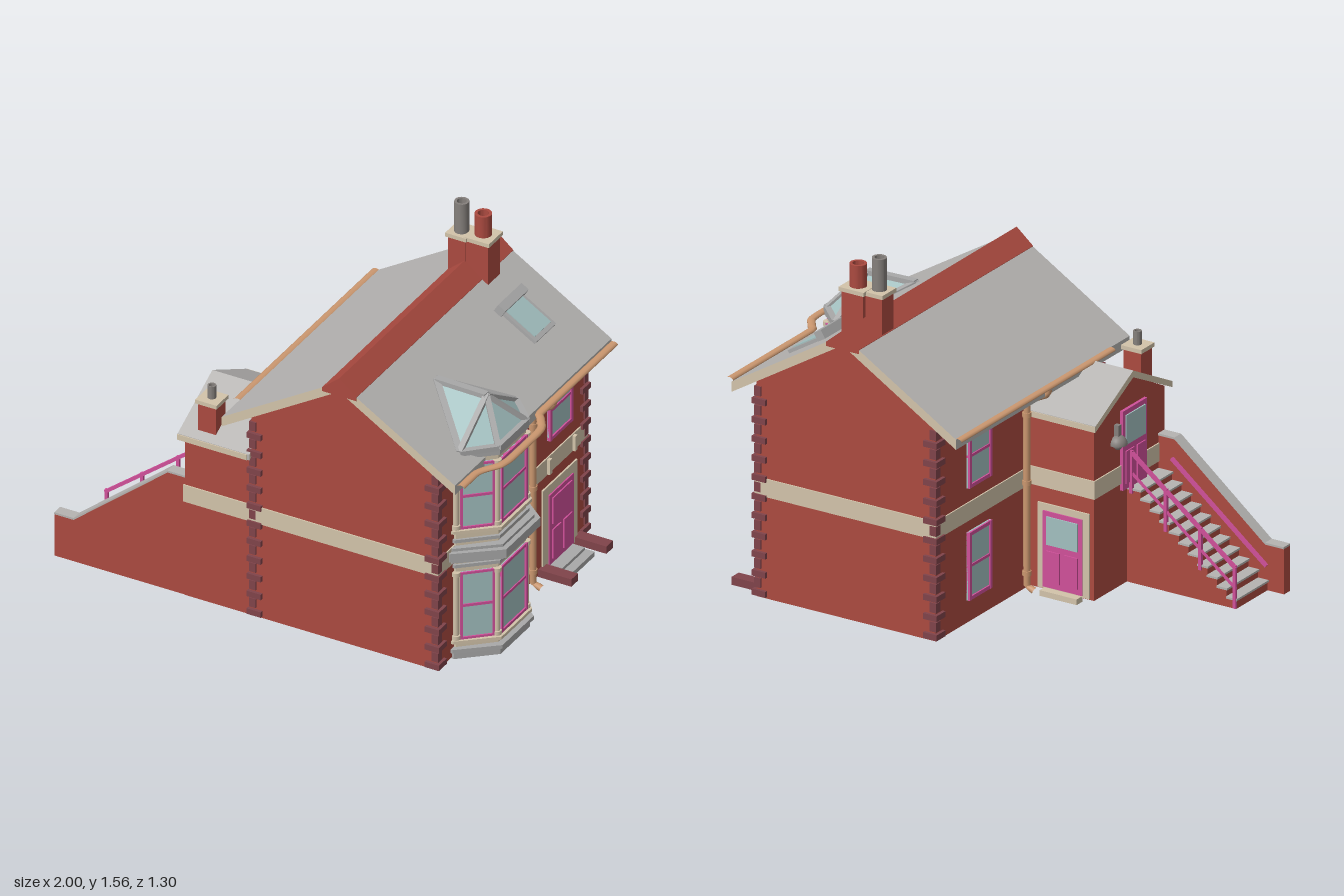
import * as THREE from 'three';
import { toCreasedNormals } from 'three/addons/utils/BufferGeometryUtils.js';

const mat = (name, color, side = THREE.FrontSide) => {
  const m = new THREE.MeshStandardMaterial({ color, side });
  m.name = name;
  return m;
};

export function createModel() {
  const brick = mat('brick', 0xab4a40), quoinMat = mat('quoinBrick', 0x80434a);
  const cream = mat('creamStone', 0xd2c3aa), slate = mat('slate', 0xb5b3b1);
  const stone = mat('greyStone', 0xa8a8a8), pink = mat('pinkPaint', 0xd0509a);
  const glass = mat('glass', 0xa2bfbf, THREE.DoubleSide), copper = mat('copper', 0xcc9870);
  const dark = mat('darkGrey', 0x85807c);
  const house = new THREE.Group();
  house.name = 'house';

  const add = (name, geo, m, parent = house) => {
    const mesh = new THREE.Mesh(geo, m);
    mesh.name = name;
    parent.add(mesh);
    return mesh;
  };
  // box given by its limits on each axis
  const box = (name, m, x0, x1, y0, y1, z0, z1, parent = house) => {
    const mesh = add(name, new THREE.BoxGeometry(x1 - x0, y1 - y0, z1 - z0), m, parent);
    mesh.position.set((x0 + x1) / 2, (y0 + y1) / 2, (z0 + z1) / 2);
    return mesh;
  };
  const prism = (pts, depth) => new THREE.ExtrudeGeometry(
    new THREE.Shape(pts.map(p => new THREE.Vector2(...p))), { depth, bevelEnabled: false });
  const alongZ = (name, m, pts, z0, z1) => {
    const mesh = add(name, prism(pts, z1 - z0), m);
    mesh.position.z = z0;
    return mesh;
  };
  // profile points are (z, y), extruded along x
  const alongX = (name, m, pts, x0, x1) => {
    const mesh = add(name, prism(pts.map(([z, y]) => [-z, y]).reverse(), x1 - x0), m);
    mesh.rotation.y = Math.PI / 2;
    mesh.position.x = x0;
    return mesh;
  };
  const beam = (name, m, a, b, w, h = w) => {
    const p = new THREE.Vector3(...a), q = new THREE.Vector3(...b);
    const mesh = add(name, new THREE.BoxGeometry(w, h, p.distanceTo(q)), m);
    mesh.position.copy(p).add(q).multiplyScalar(0.5);
    mesh.lookAt(q);
    return mesh;
  };
  const tube = (name, pts, r, squash = 1) => {
    const curve = new THREE.CatmullRomCurve3(
      pts.map(([x, y, z]) => new THREE.Vector3(x, y / squash, z)), false, 'catmullrom', 0.15);
    const geo = new THREE.TubeGeometry(curve, 60, r, 10);
    geo.scale(1, squash, 1);
    return add(name, geo, copper);
  };
  const facing = (name, x, y, z, angle) => {
    const g = new THREE.Group();
    g.name = name;
    g.position.set(x, y, z);
    g.rotation.y = angle;
    house.add(g);
    return g;
  };
  // sash window centred on its group, looking along local +z
  const sash = (name, x, y, z, angle, w, h, f = 0.013) => {
    const g = facing(name, x, y, z, angle);
    box('pane', glass, -w / 2, w / 2, -h / 2, h / 2, -0.003, 0.005, g);
    for (const s of [-1, 1]) {
      box('stile', pink, s * (w / 2 - f / 2) - f / 2, s * (w / 2 - f / 2) + f / 2, -h / 2, h / 2, -0.003, 0.013, g);
      box('rail', pink, -w / 2, w / 2, s * (h / 2 - f / 2) - f / 2, s * (h / 2 - f / 2) + f / 2, -0.003, 0.012, g);
    }
    box('meetingRail', pink, -w / 2, w / 2, -0.006, 0.006, -0.003, 0.01, g);
    return g;
  };
  // panelled door standing on its group's origin, with a stone surround
  const door = (name, x, y, z, angle, w, h, surround, glazed) => {
    const g = facing(name, x, y, z, angle);
    if (surround) box('surround', cream, -w / 2 - surround, w / 2 + surround, 0, h + surround, -0.01, 0.008, g);
    box('leaf', pink, -w / 2, w / 2, 0.01, h, -0.01, 0.014, g);
    for (const s of [-1, 1]) {
      const c = s * w * 0.23, k = w * 0.17;
      box('lowerPanel', pink, c - k, c + k, h * 0.1, h * 0.5, 0, 0.02, g);
    }
    box('upperPanel', glazed ? glass : pink, -w * 0.4, w * 0.4, h * 0.58, h * 0.94, 0, 0.02, g);
    return g;
  };

  // main walls, back wing and string course
  alongZ('mainWalls', brick, [[-0.08, 0.02], [0.79, 0.02], [0.79, 0.972], [0.35, 1.237], [-0.08, 0.972]], -0.615, 0.615);
  alongX('wingWalls', brick, [[0.09, 0.02], [0.615, 0.02], [0.615, 0.785], [0.352, 0.925], [0.09, 0.785]], -0.39, -0.07);
  box('stringCourse', cream, -0.086, 0.796, 0.47, 0.55, -0.621, 0.621);
  box('wingStringCourse', cream, -0.396, -0.07, 0.47, 0.55, 0.084, 0.621);
  for (const z of [-0.29, -0.5]) box('bandBlock', cream, 0.78, 0.81, 0.475, 0.545, z - 0.01, z + 0.01);

  // corner quoins, alternating long and short
  for (const [cx, sx] of [[0.79, 1], [-0.08, -1]]) for (const sz of [-1, 1]) {
    for (let i = 0; i < 22; i++) {
      const long = i % 2 === 0, len = long ? 0.052 : 0.024, out = long ? 0.014 : 0.007, y = 0.02 + i * 0.0423;
      const size = len + out, q = add('quoin', new THREE.BoxGeometry(size, long ? 0.026 : 0.0423, size), quoinMat);
      q.position.set(cx + sx * (out - size / 2), y + 0.021, sz * (0.615 + out - size / 2));
    }
  }

  // roofs with pale verges, and the ridge
  alongZ('mainRoof', [cream, slate], [[-0.2, 0.905], [0.35, 1.24], [0.89, 0.91], [0.89, 0.955], [0.35, 1.285], [-0.2, 0.95]], -0.648, 0.648);
  alongZ('ridgeTiles', brick, [[0.27, 1.22], [0.43, 1.22], [0.43, 1.238], [0.35, 1.305], [0.27, 1.238]], -0.65, 0.65);
  alongX('wingRoof', [cream, slate], [[0.07, 0.775], [0.352, 0.92], [0.64, 0.775], [0.64, 0.802], [0.352, 0.95], [0.07, 0.802]], -0.41, -0.075);
  for (const z of [0.066, 0.64]) box('wingFascia', cream, -0.41, -0.085, 0.775, 0.8, z, z + 0.005);

  // chimneys
  const pot = (name, m, x, y, z, r, h) => {
    const pts = [[r, 0], [r, h], [r * 0.65, h], [r * 0.65, h * 0.4], [0, h * 0.4]].map(p => new THREE.Vector2(...p));
    add(name, toCreasedNormals(new THREE.LatheGeometry(pts, 20), 0.6), m).position.set(x, y, z);
  };
  const stack = (name, x0, x1, y0, y1, z0, z1) => {
    box(name, brick, x0, x1, y0, y1, z0, z1);
    box(name + 'Cap', cream, x0 - 0.008, x1 + 0.008, y1, y1 + 0.018, z0 - 0.008, z1 + 0.008);
  };
  stack('rearStack', 0.273, 0.355, 1.15, 1.4, -0.474, -0.386);
  stack('frontStack', 0.353, 0.458, 1.15, 1.402, -0.492, -0.392);
  stack('wingStack', -0.337, -0.253, 0.82, 0.95, 0.52, 0.602);
  pot('greyPot', dark, 0.315, 1.41, -0.427, 0.031, 0.15);
  pot('redPot', brick, 0.406, 1.41, -0.445, 0.036, 0.11);
  pot('wingPot', dark, -0.295, 0.96, 0.56, 0.018, 0.067);

  // two-storey bay, built of stacked canted layers
  const zc = 0.245, wallX = 0.79, frontX = 0.93, wide = 0.235, narrow = 0.115;
  const bayLayer = (name, m, y0, y1, o) => {
    const f = frontX + o, a = wide + o, b = narrow + o * 0.5;
    const geo = prism([[wallX - 0.03, -zc - a], [wallX + 0.01, -zc - a], [f, -zc - b], [f, -zc + b], [wallX + 0.01, -zc + a], [wallX - 0.03, -zc + a]], y1 - y0);
    const mesh = add(name, geo, m);
    mesh.rotation.x = -Math.PI / 2;
    mesh.position.y = y0;
  };
  bayLayer('bayCore', cream, 0.02, 0.97, 0);
  for (const [y0, y1, o] of [[0.012, 0.045, 0.015], [0.045, 0.062, 0.028], [0.48, 0.495, 0.035], [0.495, 0.535, 0.052], [0.535, 0.548, 0.03], [0.965, 0.992, 0.01]])
    bayLayer('bayStoneCourse', stone, y0, y1, o);
  for (const y of [0.085, 0.612]) bayLayer('baySill', cream, y, y + 0.014, 0.022);
  for (const y of [0.445, 0.565]) bayLayer('bayMoulding', stone, y, y + 0.015, 0.012);
  const sideX = (wallX + 0.01 + frontX) / 2, run = frontX - wallX - 0.01, dz = wide - narrow;
  for (const [y, h] of [[0.262, 0.32], [0.785, 0.31]]) {
    sash('bayFrontWindow', frontX, y, zc, Math.PI / 2, 0.215, h);
    for (const s of [-1, 1]) {
      sash('baySideWindow', sideX, y, zc + s * (wide + narrow) / 2, Math.atan2(dz, s * run), 0.145, h, 0.01);
      for (const [x, d] of [[wallX + 0.01, wide], [frontX - 0.003, narrow + 0.004]]) {
        for (const [name, r, c, len] of [['bayColumn', 0.012, y, h], ['columnBase', 0.019, y - h / 2 + 0.01, 0.018], ['columnCapital', 0.019, y + h / 2 - 0.008, 0.018]])
          add(name, new THREE.CylinderGeometry(r, r, len, 12), cream).position.set(x, c, zc + s * d);
      }
    }
  }

  // glazed hipped lantern over the bay
  const back = [0.575, 1.15, zc], apex = [0.81, 1.145, zc];
  const corner = s => [0.815, 0.998, zc + s * 0.232], front = s => [0.93, 0.998, zc + s * 0.118];
  const tris = [apex, front(1), front(-1)];
  for (const s of [-1, 1]) {
    tris.push(back, apex, corner(s), apex, corner(s), front(s));
    beam('lanternValley', stone, back, corner(s), 0.028, 0.02);
    beam('lanternSideHip', stone, apex, corner(s), 0.024, 0.02);
    beam('lanternFrontHip', stone, apex, front(s), 0.024, 0.02);
    beam('lanternSideEave', stone, corner(s), front(s), 0.028, 0.022);
  }
  beam('lanternRidge', stone, back, apex, 0.032, 0.022);
  beam('lanternFrontEave', stone, front(1), front(-1), 0.028, 0.022);
  const lantern = new THREE.BufferGeometry();
  lantern.setAttribute('position', new THREE.Float32BufferAttribute(tris.flat(), 3));
  lantern.computeVertexNormals();
  add('lanternGlass', lantern, glass);

  // roof window lying on the slope
  const skylight = facing('roofWindow', 0.635, 1.111, -0.395, 0);
  skylight.rotation.z = -Math.atan(0.61);
  box('roofWindowFrame', stone, -0.105, 0.1, -0.01, 0.014, -0.083, 0.083, skylight);
  box('roofWindowGlass', glass, -0.08, 0.08, 0.01, 0.018, -0.066, 0.066, skylight);
  box('roofWindowHood', stone, -0.115, -0.075, 0, 0.04, -0.097, 0.097, skylight);

  // street door, step, low piers and window above
  door('frontDoor', 0.79, 0.025, -0.388, Math.PI / 2, 0.2, 0.345, 0.043, false);
  box('frontStep', stone, 0.79, 0.9, 0, 0.022, -0.49, -0.285);
  box('frontThreshold', stone, 0.79, 0.86, 0.02, 0.036, -0.48, -0.295);
  for (const z of [-0.245, -0.535]) box('lowPier', quoinMat, 0.79, 0.945, 0.015, 0.05, z - 0.027, z + 0.027);
  sash('frontUpperWindow', 0.793, 0.767, -0.388, Math.PI / 2, 0.19, 0.28, 0.016);

  // back windows and wing doors
  for (const [y, h] of [[0.27, 0.3], [0.755, 0.28]]) sash('backWindow', -0.083, y, -0.3, -Math.PI / 2, 0.17, h, 0.016);
  door('wingLowerDoor', -0.245, 0.025, 0.09, Math.PI, 0.19, 0.345, 0.03, true);
  box('wingDoorStep', cream, -0.335, -0.155, 0.005, 0.03, 0.045, 0.09);
  door('wingUpperDoor', -0.39, 0.43, 0.375, -Math.PI / 2, 0.18, 0.36, 0, true);

  // wall lamp
  box('lampArm', dark, -0.412, -0.388, 0.67, 0.745, 0.24, 0.26);
  const shade = add('lampShade', new THREE.SphereGeometry(0.04, 20, 8, 0, Math.PI * 2, 0, Math.PI / 2), dark);
  shade.position.set(-0.402, 0.66, 0.25);
  add('lampBulb', new THREE.SphereGeometry(0.02, 12, 8), dark).position.set(-0.402, 0.655, 0.25);

  // outside stair
  const steps = 11, x0 = -0.92, x1 = -0.41, top = 0.43, going = (x1 - x0) / steps, rise = (top - 0.02) / steps;
  const outline = [[-0.385, 0.02], [-0.385, top]];
  for (let i = steps - 1; i >= 0; i--) {
    const x = x0 + i * going, y = 0.02 + (i + 1) * rise;
    outline.push([x, y], [x, y - rise]);
    box('tread', slate, x - 0.006, x + going, y, y + 0.009, 0.33, 0.57);
  }
  const stairs = alongZ('stairBody', brick, outline.reverse().filter((p, i, a) => !i || p[0] !== a[i - 1][0] || p[1] !== a[i - 1][1]), 0.335, 0.575);
  stairs.name = 'stairBody';
  box('landing', slate, x1, -0.388, top, top + 0.009, 0.33, 0.57);
  const slope = [[-1, 0.22], [-0.91, 0.22], [-0.47, 0.583], [-0.39, 0.583]];
  alongZ('stairWall', brick, [[-1, 0.02], [-0.39, 0.02], ...[...slope].reverse()], 0.57, 0.613);
  alongZ('stairCoping', slate, [...slope, ...[...slope].reverse().map(([x, y]) => [x, y + 0.009])], 0.567, 0.616);

  // stair rails
  beam('handrail', pink, [-0.92, 0.2, 0.333], [-0.41, 0.6, 0.333], 0.014);
  beam('lowerRail', pink, [-0.92, 0.11, 0.333], [-0.41, 0.51, 0.333], 0.009);
  beam('wallRail', pink, [-0.92, 0.13, 0.561], [-0.46, 0.5, 0.561], 0.014);
  for (let i = 0; i < 4; i++) {
    const x = -0.915 + i * 0.167, y = 0.2 + (x + 0.92) * 0.784;
    box('railPost', pink, x - 0.007, x + 0.007, Math.max(0.02, y - 0.18), y + 0.008, 0.326, 0.34);
  }

  // gutters and downpipes
  tube('frontGutter', [[0.915, 0.952, -0.625], [0.915, 0.952, -0.02], [0.935, 0.952, 0.02], [0.975, 0.952, 0.08], [0.982, 0.952, 0.13],
    [0.982, 0.952, 0.36], [0.97, 0.952, 0.42], [0.93, 0.952, 0.48], [0.915, 0.952, 0.52], [0.915, 0.952, 0.645]], 0.018, 0.55);
  tube('backGutter', [[-0.21, 0.945, -0.648], [-0.21, 0.945, 0], [-0.21, 0.945, 0.5]], 0.018, 0.55);
  tube('frontDownpipe', [[0.915, 0.95, -0.13], [0.905, 0.92, -0.13], [0.83, 0.875, -0.13], [0.815, 0.84, -0.13], [0.815, 0.06, -0.13], [0.825, 0.04, -0.13], [0.855, 0.028, -0.13]], 0.015);
  tube('backDownpipe', [[-0.21, 0.94, 0.03], [-0.2, 0.91, 0.03], [-0.12, 0.87, 0.03], [-0.103, 0.84, 0.03], [-0.103, 0.06, 0.03], [-0.112, 0.04, 0.03], [-0.14, 0.028, 0.03]], 0.015);
  for (const y of [0.1, 0.5, 0.8]) for (const [x, z] of [[0.815, -0.13], [-0.103, 0.03]])
    add('pipeCollar', new THREE.CylinderGeometry(0.019, 0.019, 0.02, 12), copper).position.set(x, y, z);

  return house;
}
